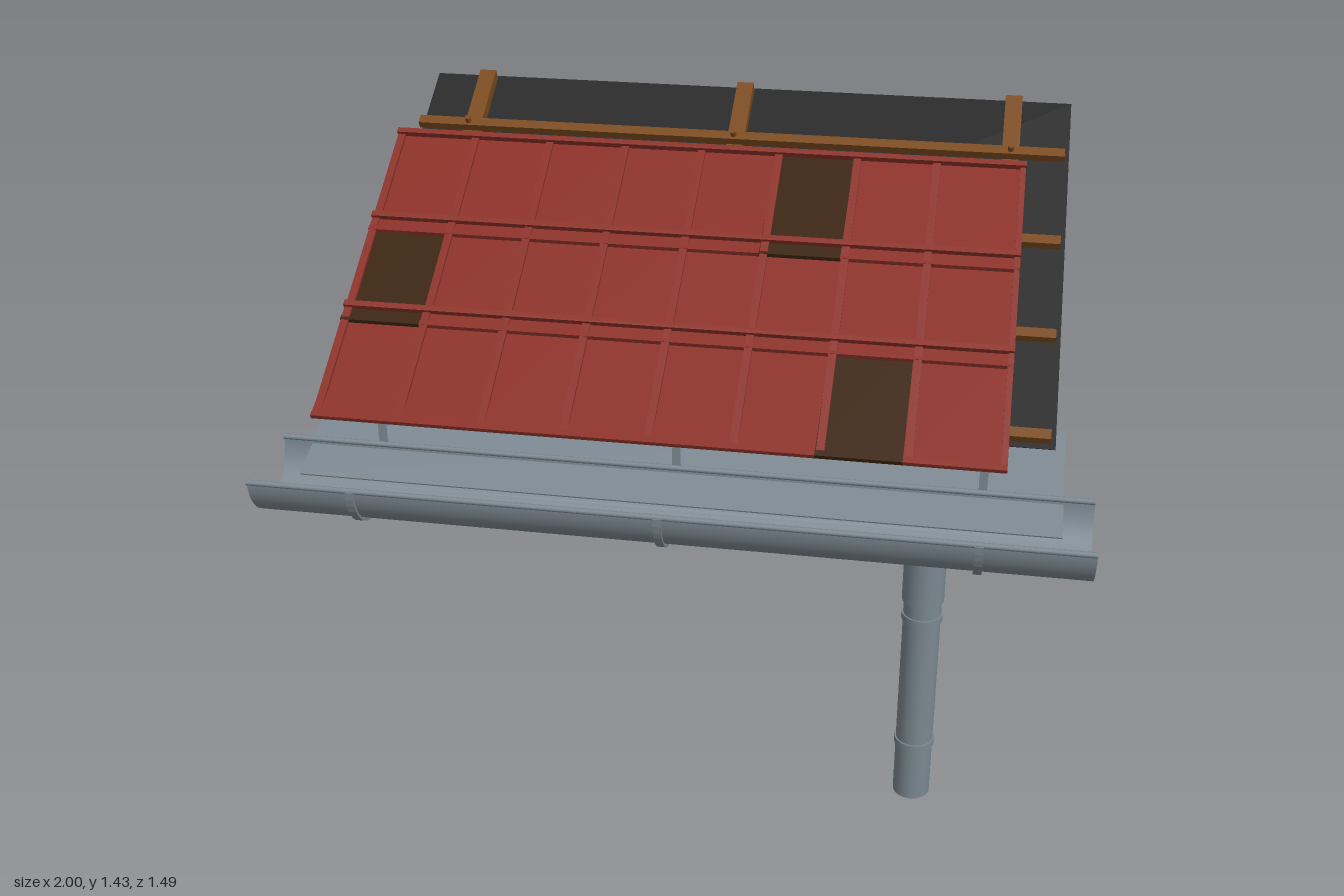
import * as THREE from 'three';

const mat = (name, color, side = THREE.FrontSide) => {
  const m = new THREE.MeshStandardMaterial({ color, side });
  m.name = name;
  return m;
};

export function createModel() {
  const model = new THREE.Group();
  const wood = mat('wood', 0x7a4a1e);
  const insulationGold = mat('insulation gold', 0xb58e3c);
  const black = mat('black felt', 0x262626);
  const teal = mat('teal lining', 0x41646a);
  const clay = mat('red clay', 0x8a3028);
  const darkClay = mat('dark brown tile', 0x3b2410);
  const zinc = mat('zinc grey', 0x7b8790, THREE.DoubleSide);

  const add = (parent, name, geo, m, x = 0, y = 0, z = 0) => {
    const mesh = new THREE.Mesh(geo, m);
    mesh.name = name;
    mesh.position.set(x, y, z);
    parent.add(mesh);
    return mesh;
  };
  const group = (name, parent, y, z, angle) => {
    const g = new THREE.Group();
    g.name = name;
    g.position.set(0, y, z);
    g.rotation.x = angle;
    parent.add(g);
    return g;
  };
  // Box in a sloped frame: s runs up the slope, t along its normal
  const slab = (parent, name, m, x, w, s0, s1, t0, t1) =>
    add(parent, name, new THREE.BoxGeometry(w, t1 - t0, s1 - s0), m, x, (t0 + t1) / 2, -(s0 + s1) / 2);

  // Sloped roof layers
  const roof = group('roofStructure', model, 0.77, 0.41, Math.PI / 6);
  const frameX = [-0.748, 0, 0.748];
  slab(roof, 'insulation', insulationGold, 0, 1.78, 0.03, 1.205, -0.138, -0.008);
  slab(roof, 'innerLining', teal, 0, 1.8, 0.03, 1.215, -0.148, -0.139);
  slab(roof, 'lowerMembrane', black, 0, 1.81, 0, 1.224, 0.001, 0.007);
  slab(roof, 'upperMembrane', black, 0, 1.81, 0.095, 1.224, 0.02, 0.027);
  for (const x of frameX) {
    slab(roof, 'rafter', wood, x, 0.058, 0, 1.237, -0.157, 0);
    slab(roof, 'counterBatten', wood, x, 0.046, 0.026, 1.21, 0.033, 0.065);
  }
  for (let i = 0; i < 4; i++) {
    const s = 0.092 + i * 0.296;
    slab(roof, 'batten', wood, 0, 1.78, s - 0.014, s + 0.014, 0.079, 0.101);
    for (const x of frameX) {
      add(roof, 'battenScrew', new THREE.CylinderGeometry(0.008, 0.008, 0.017, 10), wood, x, 0.109, -s);
    }
  }

  // Tile courses, each with shallow pans, steeper side ribs and a head rail
  const pitch = 0.2075, left = -0.905, cols = 8;
  const darkCols = [6, 0, 5];
  for (let row = 0; row < 3; row++) {
    const y = 0.88 + row * 0.148, z = 0.545 - row * 0.252;
    const pans = group('tilePans', model, y, z, 0.44);
    const ribs = group('tileRibs', model, y, z, 0.545);
    for (let c = 0; c < cols; c++) {
      const m = c === darkCols[row] ? darkClay : clay;
      const w = c === cols - 1 ? 0.2425 : pitch;
      const x = left + c * pitch + w / 2;
      slab(pans, 'tilePan', m, x, w, 0, 0.367, -0.004, 0.004);
      slab(pans, 'tileLip', m, x, w, 0, 0.014, -0.005, 0.007);
      slab(ribs, 'tileRib', clay, left + c * pitch + 0.012, 0.02, 0.01, 0.345, -0.006, 0.002);
    }
    slab(ribs, 'tileRib', clay, 0.782, 0.014, 0.01, 0.345, -0.006, 0.002);
    slab(ribs, 'headRail', clay, -0.0575, 1.695, 0.332, 0.348, -0.006, 0.01);
  }

  // Fascia and drip sheet
  add(model, 'fascia', new THREE.BoxGeometry(1.805, 0.208, 0.036), wood, 0, 0.684, 0.428);
  const drip = group('dripEdge', model, 0.745, 0.595, 0.349);
  slab(drip, 'dripSheet', zinc, 0, 1.855, 0, 0.338, -0.002, 0.002);

  // Open half-round gutter with rolled lips
  const gutter = group('gutter', model, 0.795, 0.62, 0);
  const trough = new THREE.CylinderGeometry(0.12, 0.12, 2, 32, 1, true, -Math.PI / 2, Math.PI);
  trough.rotateY(Math.PI / 2).rotateZ(Math.PI / 2);
  // Bend the half shell so that it opens upward
  const p = trough.attributes.position;
  for (let i = 0; i < p.count; i++) {
    const col = i % 33, a = Math.PI * (col / 32);
    p.setXYZ(i, i < 33 ? 1 : -1, -0.122 * Math.sin(a), 0.12 * Math.cos(a));
  }
  trough.computeVertexNormals();
  add(gutter, 'trough', trough, zinc);
  for (const z of [-0.12, 0.12]) {
    const bead = new THREE.CylinderGeometry(0.007, 0.007, 2, 12).rotateZ(Math.PI / 2);
    add(gutter, 'rolledLip', bead, zinc, 0, 0, z);
  }

  // Hanger straps cradling the gutter
  const outer = [], inner = [];
  const strap = (r) => {
    const pts = [];
    for (let i = 0; i <= 20; i++) {
      const a = Math.PI * (i / 20);
      pts.push(new THREE.Vector2(r * Math.cos(a), -r * Math.sin(a)));
    }
    return pts;
  };
  outer.push(...strap(0.13), new THREE.Vector2(-0.13, 0.1));
  inner.push(...strap(0.124), new THREE.Vector2(-0.124, 0.1));
  const strapShape = new THREE.Shape([...outer, ...inner.reverse()]);
  for (const x of [-0.742, 0, 0.738]) {
    const geo = new THREE.ExtrudeGeometry(strapShape, { depth: 0.02, bevelEnabled: false });
    geo.rotateY(-Math.PI / 2);
    add(gutter, 'gutterHanger', geo, zinc, x + 0.01, 0, 0);
  }

  // Downpipe with outlet sleeve and clips
  const pipe = group('downpipe', model, 0, 0.622, 0);
  pipe.position.x = 0.617;
  const tube = (name, r, y0, y1) =>
    add(pipe, name, new THREE.CylinderGeometry(r, r, y1 - y0, 32), zinc, 0, (y0 + y1) / 2, 0);
  tube('pipe', 0.045, 0, 0.6);
  tube('outletSleeve', 0.05, 0.565, 0.7);
  for (const y of [0.155, 0.52]) tube('pipeClip', 0.049, y - 0.009, y + 0.009);

  return model;
}
